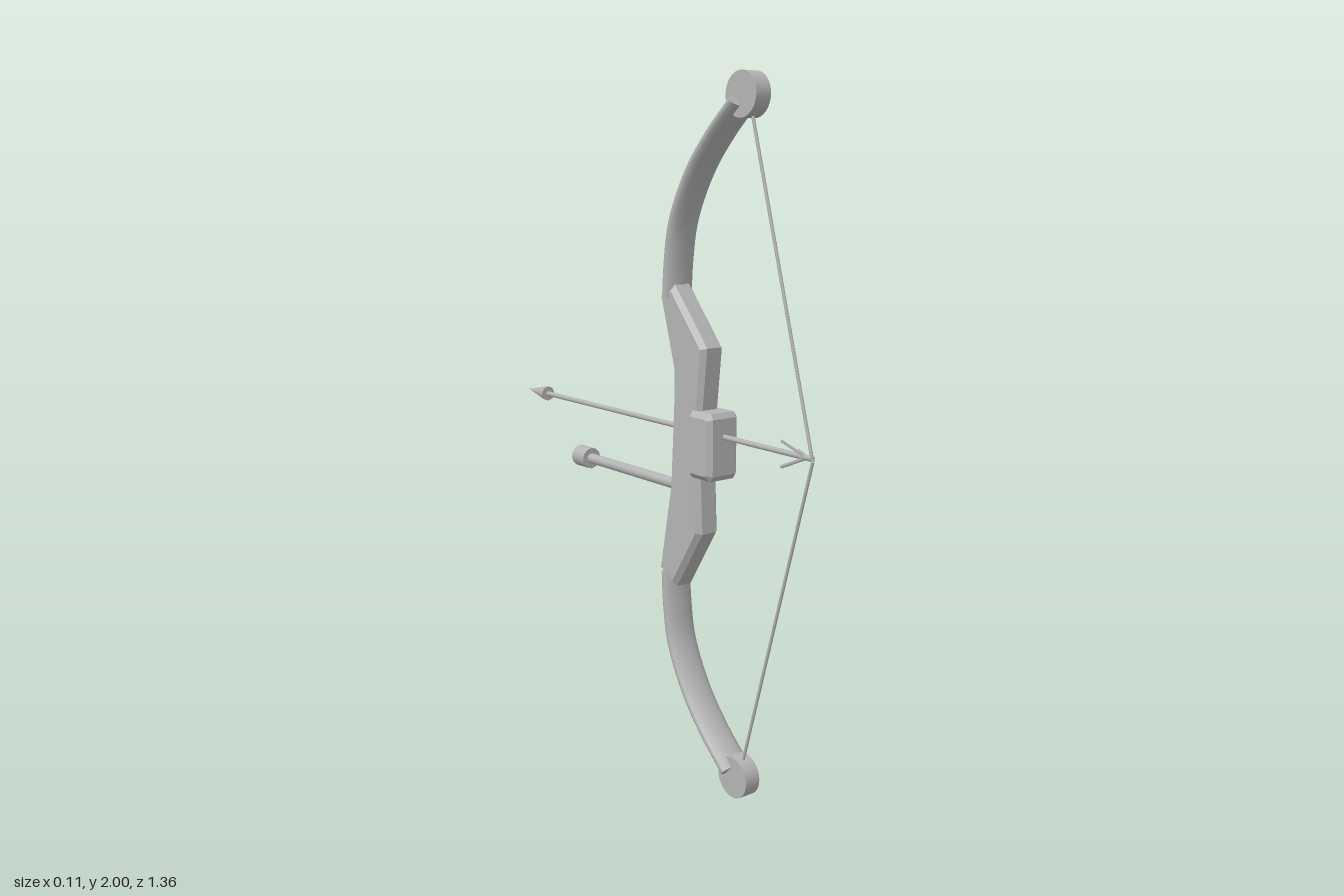
import * as THREE from 'three';

const metal = new THREE.MeshStandardMaterial({ color: 0xb4b4b4 });
metal.name = 'grey';

function add(parent, name, geometry) {
  const mesh = new THREE.Mesh(geometry, metal);
  mesh.name = name;
  parent.add(mesh);
  return mesh;
}

// Side outline in (z, y), extruded across x with bevelled edges
function sidePlate(points, halfWidth, bevel) {
  const shape = new THREE.Shape(points.map(([z, y]) => new THREE.Vector2(z, y)));
  const depth = 2 * (halfWidth - bevel);
  return new THREE.ExtrudeGeometry(shape, {
    depth, bevelEnabled: true, bevelThickness: bevel, bevelSize: bevel,
    bevelOffset: -bevel, bevelSegments: 1,
  }).translate(0, 0, -depth / 2).rotateY(-Math.PI / 2);
}

// Round bar between two points; r1 is the radius at the end point
function bar(parent, name, a, b, r0, r1 = r0, sides = 8) {
  const start = new THREE.Vector3(...a), end = new THREE.Vector3(...b);
  const dir = end.clone().sub(start);
  const mesh = add(parent, name, new THREE.CylinderGeometry(r1, r0, dir.length(), sides));
  mesh.position.copy(start).add(end).multiplyScalar(0.5);
  mesh.quaternion.setFromUnitVectors(new THREE.Vector3(0, 1, 0), dir.normalize());
  return mesh;
}

// Curved limb with an elliptical section; s is +1 for upper, -1 for lower
function limb(parent, s) {
  const g = new THREE.Group();
  g.name = s > 0 ? 'upperLimb' : 'lowerLimb';
  parent.add(g);
  const curve = new THREE.CatmullRomCurve3(
    [[0.117, 0.4], [0.124, 0.5], [0.145, 0.61], [0.212, 0.74], [0.297, 0.84], [0.392, 0.925]]
      .map(([z, y]) => new THREE.Vector3(0, 1 + s * y, z)));
  const r = 0.0225, flatten = 0.05 / r;
  add(g, 'limbBlade', new THREE.TubeGeometry(curve, 24, r, 16).scale(flatten, 1, 1));
  for (const t of [0, 1]) {
    const normal = curve.getTangent(t).multiplyScalar(t ? 1 : -1);
    const cap = add(g, 'limbEnd', new THREE.CircleGeometry(r, 16).scale(flatten, 1, 1));
    cap.position.copy(curve.getPoint(t));
    cap.quaternion.setFromUnitVectors(new THREE.Vector3(0, 0, 1), normal);
  }
}

export function createModel() {
  const bow = new THREE.Group();
  bow.name = 'bow';

  // Riser and hand grip
  add(bow, 'riser', sidePlate([
    [0.08, 1.405], [0.142, 1.2], [0.142, 1.1], [0.13, 0.86], [0.08, 0.6],
    [0.155, 0.56], [0.268, 0.74], [0.255, 1.0], [0.283, 1.27], [0.14, 1.435],
  ], 0.039, 0.014));
  add(bow, 'grip', sidePlate([
    [0.23, 0.92], [0.24, 0.905], [0.32, 0.905], [0.33, 0.92],
    [0.33, 1.08], [0.32, 1.095], [0.24, 1.095], [0.23, 1.08],
  ], 0.056, 0.015));

  // Limbs, wheels and the drawn string
  const nock = [0, 1.02, 0.676];
  for (const s of [1, -1]) {
    limb(bow, s);
    const y = 1 + s * 0.94;
    bar(bow, s > 0 ? 'upperWheel' : 'lowerWheel',
      [-0.025, y, 0.408], [0.025, y, 0.408], 0.06, 0.06, 32);
    bar(bow, s > 0 ? 'upperString' : 'lowerString', [0, y, 0.412], nock, 0.0045);
  }

  // Arrow with three swept vanes
  const arrow = new THREE.Group();
  arrow.name = 'arrow';
  bow.add(arrow);
  const ay = 1.028;
  bar(arrow, 'arrowShaft', [0, ay, 0.675], [0, ay, -0.565], 0.008);
  bar(arrow, 'arrowHead', [0, ay, -0.56], [0, ay, -0.677], 0.024, 0);
  for (let i = 0; i < 3; i++) {
    const a = i * Math.PI * 2 / 3;
    bar(arrow, 'vane', [0, ay, 0.655],
      [0.04 * Math.cos(a), ay + 0.04 * Math.sin(a), 0.58], 0.005, 0.005, 4);
  }

  // Stabilizer rod and weight
  bar(bow, 'stabilizerRod', [0, 0.855, 0.15], [0, 0.855, -0.32], 0.016, 0.016, 12);
  bar(bow, 'stabilizerWeight', [0, 0.855, -0.313], [0, 0.855, -0.376], 0.033, 0.033, 12);

  return bow;
}
